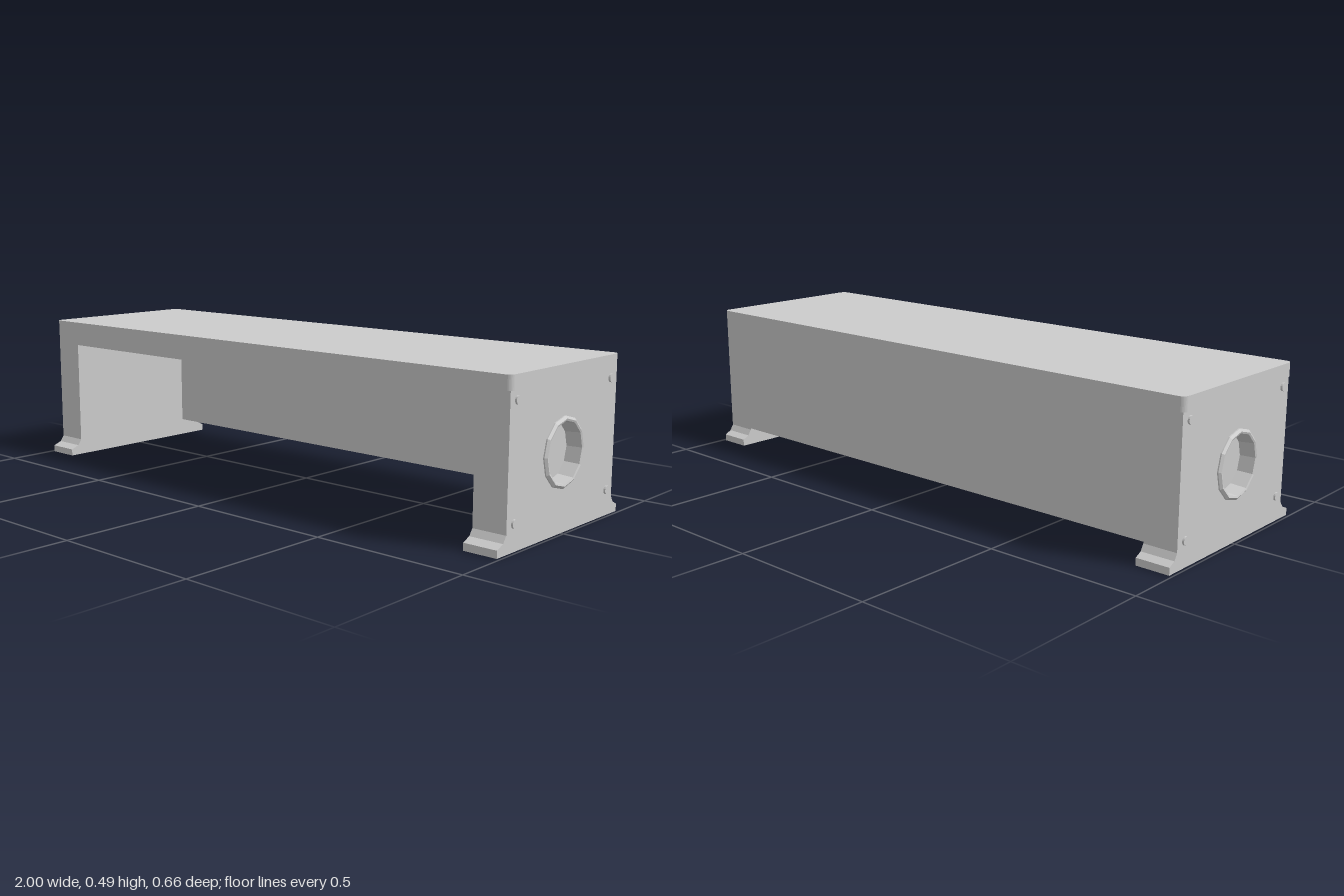
import * as THREE from 'three';

const material = new THREE.MeshStandardMaterial({ color: 0xcccccc, flatShading: true });
const FRONT = 0.285, BACK = -0.293;   // body faces
const HOLE = { y: 0.239, z: 0.003, sides: 12 };

function add(group, name, geometry) {
  const mesh = new THREE.Mesh(geometry, material);
  mesh.name = name;
  group.add(mesh);
  return mesh;
}

// Box given by its minimum and maximum corners
function boxBetween(x0, x1, y0, y1, z0, z1) {
  return new THREE.BoxGeometry(x1 - x0, y1 - y0, z1 - z0)
    .translate((x0 + x1) / 2, (y0 + y1) / 2, (z0 + z1) / 2);
}

// End outline in (z, y), with flared feet
function endShape(withHole) {
  const shape = new THREE.Shape([
    [-0.328, 0], [0.328, 0], [0.328, 0.023], [0.299, 0.035], [FRONT, 0.055],
    [FRONT, 0.45], [BACK, 0.45], [BACK, 0.055], [-0.305, 0.035], [-0.328, 0.023],
  ].map(([z, y]) => new THREE.Vector2(z, y)));
  if (withHole) {
    const ring = [];
    for (let i = 0; i < HOLE.sides; i++) {
      const a = -i / HOLE.sides * Math.PI * 2;
      ring.push(new THREE.Vector2(HOLE.z + 0.098 * Math.cos(a), HOLE.y + 0.098 * Math.sin(a)));
    }
    shape.holes.push(new THREE.Path(ring));
  }
  return shape;
}

// Extrude an end outline between two x positions
function endSlab(x0, x1, withHole) {
  return new THREE.ExtrudeGeometry(endShape(withHole), { depth: x1 - x0, bevelEnabled: false })
    .rotateY(-Math.PI / 2).translate(x1, 0, 0);
}

// Seat plate with rounded plan corners
function seatGeometry() {
  const x0 = -0.997, x1 = 0.994, z0 = -0.30, z1 = 0.29, r = 0.02;
  const s = new THREE.Shape();
  s.moveTo(x0 + r, -z1);
  s.absarc(x1 - r, -z1 + r, r, -Math.PI / 2, 0);
  s.absarc(x1 - r, -z0 - r, r, 0, Math.PI / 2);
  s.absarc(x0 + r, -z0 - r, r, Math.PI / 2, Math.PI);
  s.absarc(x0 + r, -z1 + r, r, Math.PI, Math.PI * 1.5);
  return new THREE.ExtrudeGeometry(s, { depth: 0.044, bevelEnabled: false, curveSegments: 4 })
    .rotateX(-Math.PI / 2).translate(0, 0.45, 0);
}

export function createModel() {
  const model = new THREE.Group();
  model.name = 'bench';

  add(model, 'seat', seatGeometry());
  add(model, 'seatFrame', boxBetween(-0.88, 0.88, 0.41, 0.45, BACK, FRONT));
  add(model, 'backPanel', boxBetween(-0.88, 0.88, 0.06, 0.41, BACK, -0.22));

  for (const side of [-1, 1]) {
    const end = new THREE.Group();
    end.name = side > 0 ? 'leftEnd' : 'rightEnd';
    model.add(end);

    // Leg core and the outer plate with a round recess
    const [a, b, c] = [0.88, 0.95, 0.99].map((v) => v * side);
    add(end, 'leg', endSlab(Math.min(a, b), Math.max(a, b), false));
    add(end, 'outerPlate', endSlab(Math.min(b, c), Math.max(b, c), true));

    // Raised collar lining the recess
    const profile = [[0.107, 0.985], [0.107, 0.994], [0.099, 1], [0.093, 0.998], [0.088, 0.95]]
      .map(([r, x]) => new THREE.Vector2(r, x));
    const collar = add(end, 'recessCollar', new THREE.LatheGeometry(profile, HOLE.sides));
    collar.rotation.z = -side * Math.PI / 2;
    collar.position.set(0, HOLE.y, HOLE.z);

    // Corner bolts
    for (const y of [0.081, 0.423]) for (const z of [0.25, -0.257]) {
      const bolt = add(end, 'bolt', new THREE.CylinderGeometry(0.013, 0.013, 0.02, 16));
      bolt.rotation.z = -side * Math.PI / 2;
      bolt.position.set(side * 0.986, y, z);
    }
  }
  return model;
}
